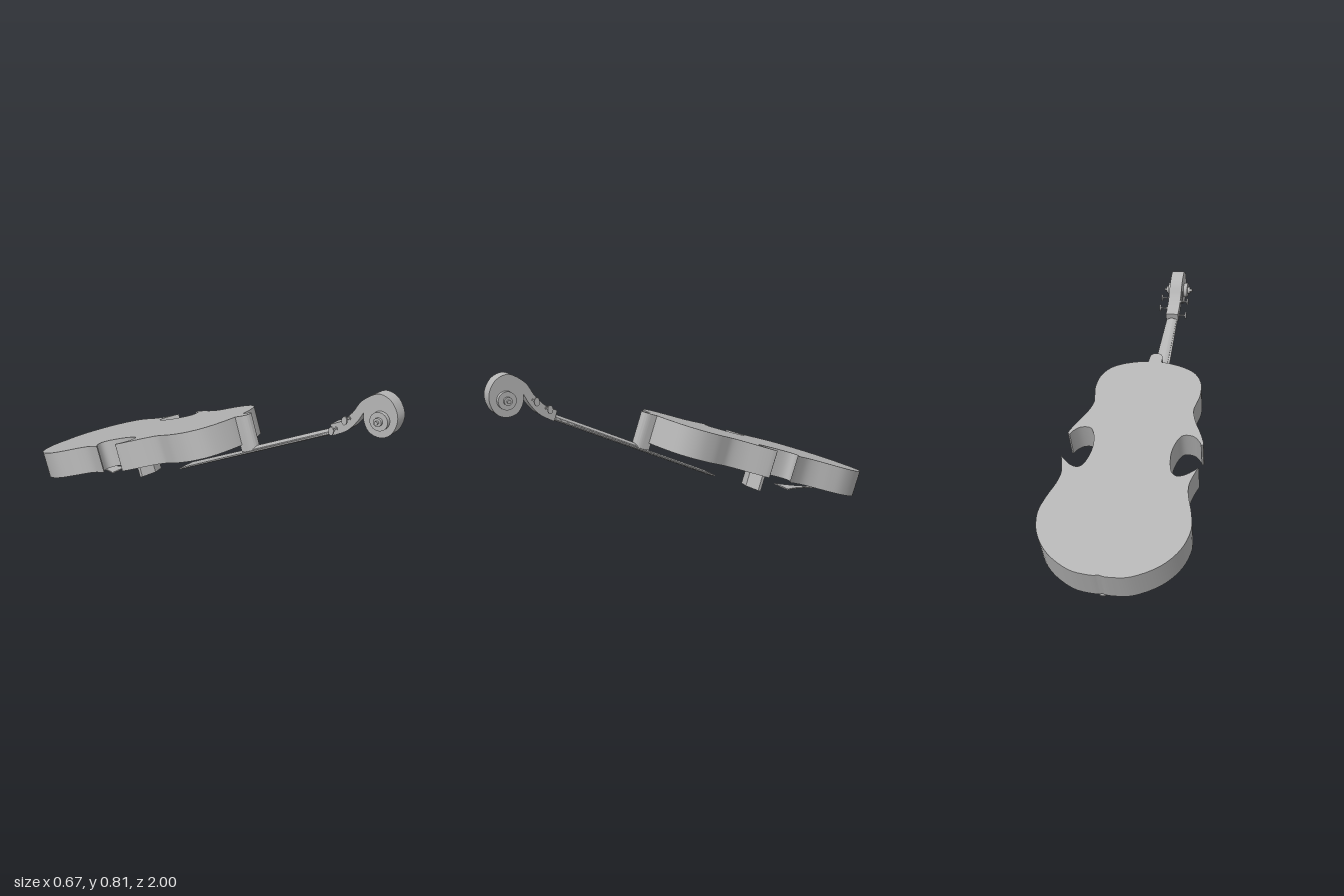
import * as THREE from 'three';
import { toCreasedNormals } from 'three/addons/utils/BufferGeometryUtils.js';

const grey = new THREE.MeshStandardMaterial({ color: 0xb4b4b4 });
grey.name = 'plainGrey';

const v2 = ([x, y]) => new THREE.Vector2(x, y);
const spline = (pts, n) => new THREE.SplineCurve(pts.map(v2)).getPoints(n);

function mesh(name, geometry, parent) {
  const m = new THREE.Mesh(geometry, grey);
  m.name = name;
  parent.add(m);
  return m;
}

// Closed outline mirrored across x = 0 from its right half
const mirrored = (half) => new THREE.Shape(
  [...half, ...half.map((p) => new THREE.Vector2(-p.x, p.y)).reverse()]
    .filter((p, i, a) => i === 0 || p.distanceTo(a[i - 1]) > 1e-5));

// Plate drawn in x/z, with its thickness going down from y = 0
function plate(shape, depth) {
  const g = new THREE.ExtrudeGeometry(shape, { depth, bevelEnabled: false, curveSegments: 16 });
  return toCreasedNormals(g.rotateX(Math.PI / 2), 0.5);
}

// Tapered bar running from z = 0 to z = -length, arched on its upper or lower side
function archedBar(w0, w1, length, y0, y1, arch, side) {
  const g = new THREE.BoxGeometry(2, 2, 1, 10, 1, 1);
  const p = g.attributes.position;
  for (let i = 0; i < p.count; i++) {
    const u = p.getX(i), t = 0.5 - p.getZ(i), s = p.getY(i);
    const bulge = s === side ? side * arch * (1 - u * u) : 0;
    p.setXYZ(i, u * THREE.MathUtils.lerp(w0, w1, t) / 2, (s > 0 ? y1 : y0) + bulge, -t * length);
  }
  return toCreasedNormals(g, 0.6);
}

function buildBody(root) {
  const body = new THREE.Group();
  body.name = 'body';
  body.position.set(0, 0.145, -1);
  body.rotation.x = -0.332;
  root.add(body);

  // Sound box: lower bout, waist and upper bout meet at sharp corners
  const lower = spline([[0, 0.005], [0.04, 0], [0.13, 0.014], [0.235, 0.078], [0.304, 0.168],
    [0.331, 0.27], [0.318, 0.358], [0.294, 0.44], [0.287, 0.5], [0.3, 0.56], [0.315, 0.604]], 40);
  const waist = spline([[0.315, 0.604], [0.298, 0.585], [0.26, 0.554], [0.223, 0.545], [0.197, 0.571],
    [0.183, 0.638], [0.183, 0.694], [0.198, 0.755], [0.222, 0.787], [0.268, 0.784],
    [0.298, 0.755], [0.308, 0.735]], 36);
  const upper = spline([[0.308, 0.735], [0.318, 0.745], [0.296, 0.806], [0.26, 0.884], [0.243, 0.95],
    [0.25, 1.0], [0.26, 1.06], [0.252, 1.14], [0.212, 1.206], [0.145, 1.245], [0.06, 1.268], [0, 1.272]], 40);
  mesh('soundBox', plate(mirrored([...lower, ...waist, ...upper]), 0.136), body);

  // Neck heel with a rounded outer end
  const heel = new THREE.Shape();
  heel.moveTo(-0.033, 1.26);
  heel.lineTo(0.033, 1.26);
  heel.lineTo(0.033, 1.3);
  heel.quadraticCurveTo(0.03, 1.335, 0, 1.335);
  heel.quadraticCurveTo(-0.03, 1.335, -0.033, 1.3);
  mesh('neckHeel', plate(heel, 0.17), body);

  // Bridge, folded along its middle
  const bridge = mirrored([[0, 0.592], [0.075, 0.575], [0.075, 0.592], [0, 0.618]].map(v2));
  mesh('bridge', plate(bridge, 0.105), body).position.set(0.013, -0.135, 0);

  // Tailpiece, flaring toward the bridge and sloping away from the front
  const tail = spline([[0.012, 0], [0.021, 0.03], [0.017, 0.06], [0.008, 0.095], [0.009, 0.16],
    [0.014, 0.22], [0.027, 0.29], [0.048, 0.35], [0.062, 0.378]], 24);
  const tailpiece = mesh('tailpiece', plate(mirrored(tail), 0.006), body);
  tailpiece.position.set(0, -0.141, 0);
  tailpiece.rotation.x = 0.161;

  // Curled sound holes as thin ribbons on the front
  const curl = spline([[0.121, 0.659], [0.113, 0.684], [0.123, 0.705], [0.143, 0.703], [0.156, 0.659],
    [0.151, 0.613], [0.132, 0.585], [0.123, 0.545], [0.134, 0.493], [0.158, 0.475],
    [0.175, 0.493], [0.177, 0.533], [0.166, 0.545]], 60);
  for (const s of [-1, 1]) {
    const a = [], b = [];
    curl.forEach((p, i) => {
      const d = curl[Math.min(i + 1, 60)].clone().sub(curl[Math.max(i - 1, 0)]).normalize();
      const w = 0.002 + 0.003 * Math.sin(Math.PI * i / 60);
      a.push(new THREE.Vector2(s * (p.x - d.y * w) + 0.008, p.y + d.x * w));
      b.unshift(new THREE.Vector2(s * (p.x + d.y * w) + 0.008, p.y - d.x * w));
    });
    mesh(s > 0 ? 'leftSoundHole' : 'rightSoundHole', plate(new THREE.Shape([...a, ...b]), 0.003), body)
      .position.y = -0.135;
  }
}

function buildNeck(root) {
  const neck = new THREE.Group();
  neck.name = 'neck';
  neck.position.set(0, 0.602, 0.705);
  neck.rotation.x = -0.431;
  root.add(neck);
  mesh('fingerboard', archedBar(0.06, 0.107, 0.908, -0.006, 0, 0.008, -1), neck);
  mesh('neckShaft', archedBar(0.052, 0.056, 0.46, -0.002, 0.004, 0.01, 1), neck);
}

function buildHead(root) {
  const head = new THREE.Group();
  head.name = 'head';
  root.add(head);

  // Pegbox and scroll as one side profile (z, y) extruded across x
  const outer = spline([[0.7, 0.638], [0.753, 0.665], [0.8, 0.713], [0.834, 0.767], [0.882, 0.804],
    [0.922, 0.815], [0.968, 0.794], [0.997, 0.745], [0.997, 0.697], [0.973, 0.651], [0.93, 0.631],
    [0.882, 0.643], [0.855, 0.681], [0.85, 0.724]], 60);
  const inner = spline([[0.85, 0.724], [0.823, 0.676], [0.78, 0.627], [0.716, 0.59]], 14);
  const width = 0.067;
  const g = new THREE.ExtrudeGeometry(new THREE.Shape([...outer, ...inner.slice(1)]),
    { depth: width, bevelEnabled: false });
  g.translate(0, 0, -width / 2).rotateY(-Math.PI / 2);
  mesh('scroll', toCreasedNormals(g, 0.5), head);

  // Stepped eyes of the scroll
  for (const [r, w] of [[0.04, 0.108], [0.018, 0.135], [0.008, 0.158]]) {
    const eye = mesh('scrollEye', new THREE.CylinderGeometry(r, r, w, 28).rotateZ(Math.PI / 2), head);
    eye.position.set(0, 0.706, 0.928);
  }

  // Tuning pegs, two on each side
  for (const [s, z, y] of [[1, 0.748, 0.654], [1, 0.807, 0.694], [-1, 0.728, 0.625], [-1, 0.786, 0.684]]) {
    const peg = new THREE.Group();
    peg.name = 'tuningPeg';
    peg.position.set(0, y, z);
    head.add(peg);
    const bar = (name, r, x0, x1) => {
      const m = mesh(name, new THREE.CylinderGeometry(r, r, x1 - x0, 16).rotateZ(Math.PI / 2), peg);
      m.position.x = s * (x0 + x1) / 2;
      return m;
    };
    bar('pegShaft', 0.004, 0.02, 0.07);
    bar('pegCollar', 0.008, 0.03, 0.038);
    bar('pegHead', 0.019, 0.069, 0.077).scale.z = 0.65;
  }
}

export function createModel() {
  const model = new THREE.Group();
  model.name = 'violin';
  const tilted = new THREE.Group();
  tilted.name = 'instrument';
  tilted.rotation.set(0, -0.039, -0.015, 'ZYX');
  tilted.position.x = -0.032;
  model.add(tilted);
  buildBody(tilted);
  buildNeck(tilted);
  buildHead(tilted);
  return model;
}
